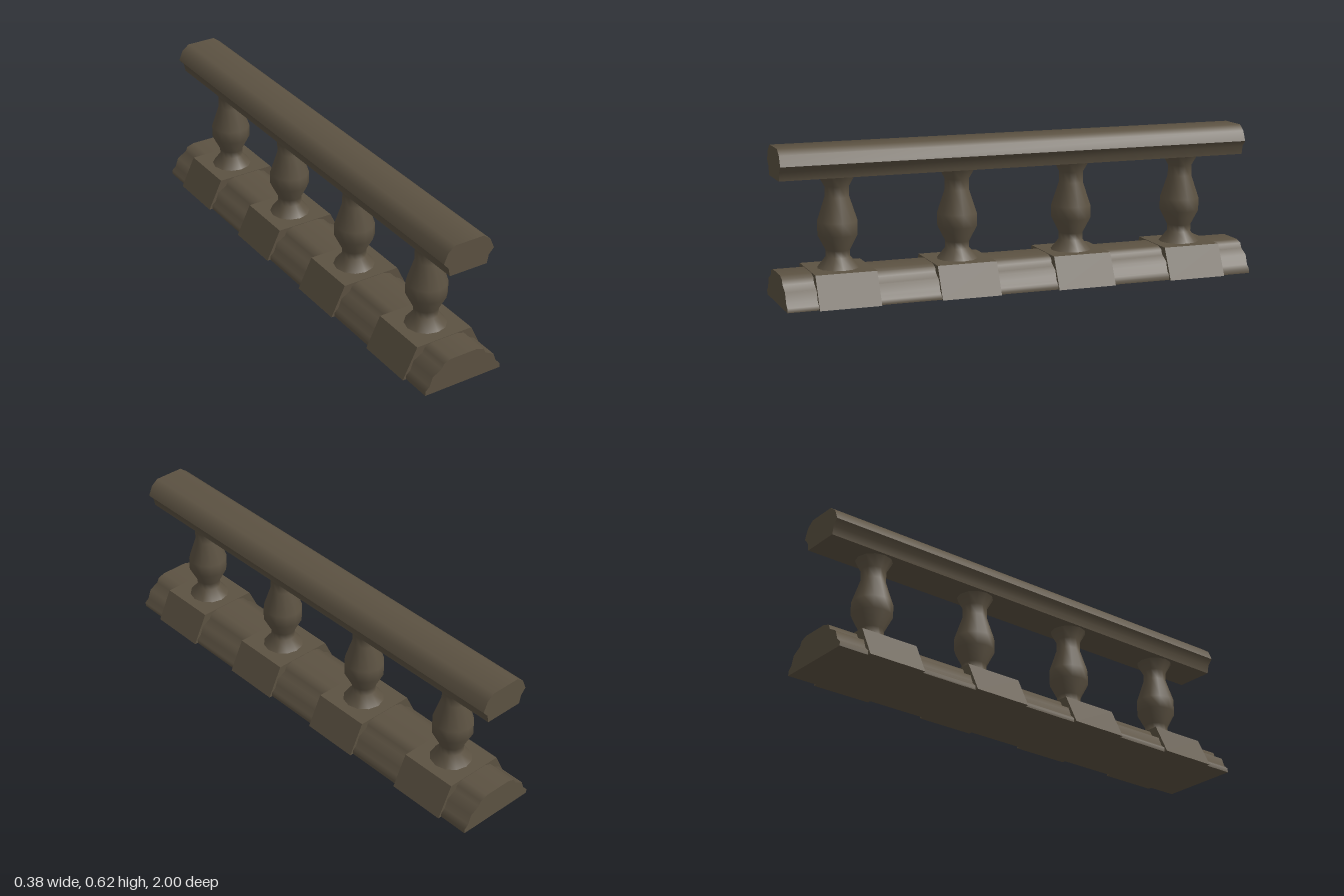
import * as THREE from 'three';
import { toCreasedNormals } from 'three/addons/utils/BufferGeometryUtils.js';

const stone = new THREE.MeshStandardMaterial({ color: 0x5c5242 });
stone.name = 'brown stone';

// Extrudes a mirrored half profile (bottom to top, x > 0) along z, centred on z = 0
function moulding(name, half, length, crease) {
  const mirrored = half.map(([x, y]) => [-x, y]).reverse();
  const shape = new THREE.Shape([...half, ...mirrored].map(([x, y]) => new THREE.Vector2(x, y)));
  const geometry = new THREE.ExtrudeGeometry(shape, { depth: length, bevelEnabled: false });
  geometry.translate(0, 0, -length / 2);
  const mesh = new THREE.Mesh(toCreasedNormals(geometry, crease), stone);
  mesh.name = name;
  return mesh;
}

export function createModel() {
  const group = new THREE.Group();
  group.name = 'balustrade';

  // Moulded plinth and handrail running the whole length
  group.add(moulding('plinth', [
    [0.173, 0], [0.173, 0.018], [0.155, 0.034], [0.141, 0.073],
    [0.101, 0.095], [0.092, 0.115], [0.06, 0.126],
  ], 2, 0.9));
  group.add(moulding('handrail', [
    [0.083, 0.499], [0.09, 0.533], [0.112, 0.558], [0.094, 0.6], [0.063, 0.623],
  ], 2, 1.1));

  // Turned baluster profile
  const profile = [
    [0.085, 0.127], [0.05, 0.171], [0.05, 0.2], [0.082, 0.262],
    [0.082, 0.315], [0.05, 0.412], [0.05, 0.456], [0.076, 0.502],
  ].map(([r, y]) => new THREE.Vector2(r, y));
  const turned = new THREE.LatheGeometry(profile, 12);

  // Four tapered blocks, each carrying a baluster
  for (const z of [-0.75, -0.25, 0.25, 0.75]) {
    const block = moulding('pedestalBlock', [[0.188, 0], [0.126, 0.128]], 0.25, 0.5);
    block.position.z = z;
    const baluster = new THREE.Mesh(turned, stone);
    baluster.name = 'baluster';
    baluster.rotation.y = Math.PI / 2;
    baluster.position.z = z;
    group.add(block, baluster);
  }
  return group;
}
